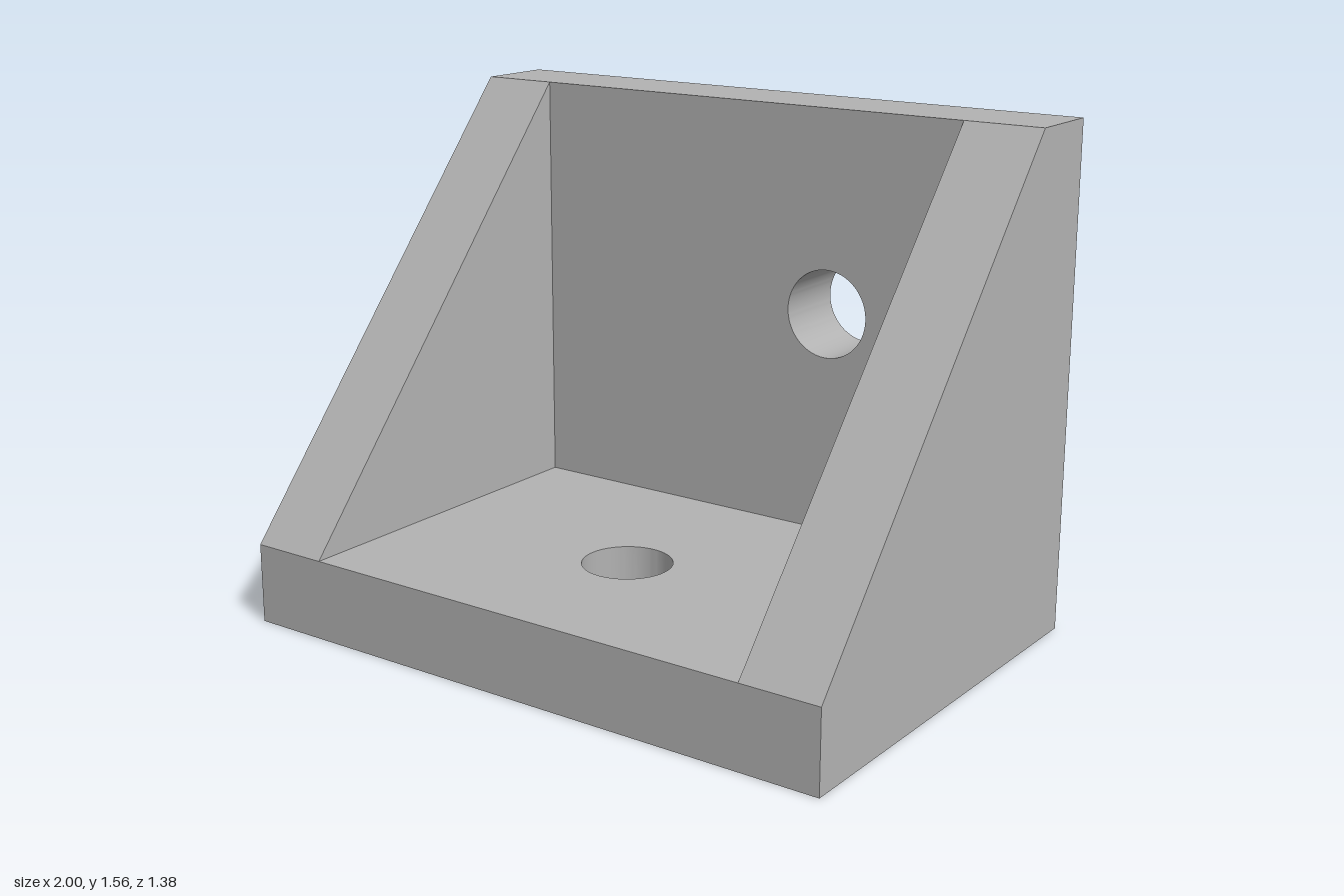
import * as THREE from 'three';
import { toCreasedNormals } from 'three/addons/utils/BufferGeometryUtils.js';

const T = 0.25;          // wall thickness
const W = 2;             // overall width
const H = 1.5625;        // overall height
const D = 1.375;         // overall depth
const HOLE_R = 0.1365;

// Extrude a polygon by the wall thickness, with an optional round hole
function slab(points, hole) {
  const shape = new THREE.Shape(points.map(([x, y]) => new THREE.Vector2(x, y)));
  if (hole) {
    const path = new THREE.Path();
    path.absarc(hole[0], hole[1], HOLE_R, 0, Math.PI * 2, true);
    shape.holes.push(path);
  }
  const geometry = new THREE.ExtrudeGeometry(shape, { depth: T, bevelEnabled: false, curveSegments: 48 });
  return toCreasedNormals(geometry, 0.5);
}

const rectangle = (x0, y0, x1, y1) => [[x0, y0], [x1, y0], [x1, y1], [x0, y1]];

export function createModel() {
  const group = new THREE.Group();
  group.name = 'cornerBracket';
  const grey = new THREE.MeshStandardMaterial({ color: 0xb2b2b2 });
  grey.name = 'grey';

  const add = (name, geometry) => {
    const mesh = new THREE.Mesh(geometry, grey);
    mesh.name = name;
    group.add(mesh);
  };

  // Base plate with a centred screw hole
  add('basePlate', slab(rectangle(-W / 2, -D / 2, W / 2, D / 2), [0, -0.155]).rotateX(-Math.PI / 2));

  // Back plate with an off-centre screw hole
  add('backPlate', slab(rectangle(-W / 2, T, W / 2, H), [0.3125, 0.9375]).translate(0, 0, -D / 2));

  // Triangular gussets closing both ends
  const gusset = [[-D / 2 + T, T], [D / 2, T], [-D / 2 + T, H]];
  for (const [name, x] of [['leftGusset', W / 2], ['rightGusset', -W / 2 + T]]) {
    add(name, slab(gusset).rotateY(-Math.PI / 2).translate(x, 0, 0));
  }
  return group;
}
